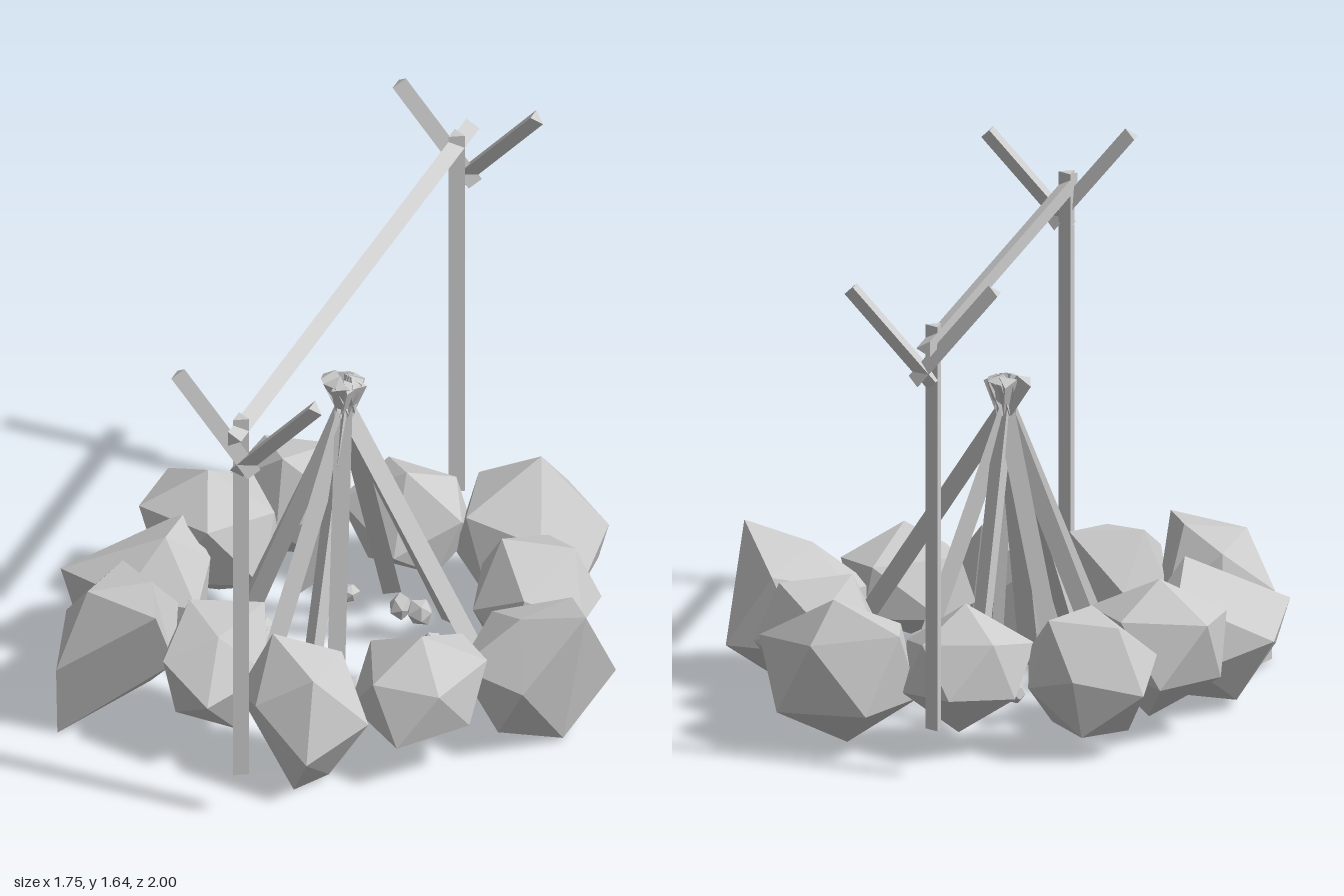
import * as THREE from 'three';
import { mergeVertices } from 'three/addons/utils/BufferGeometryUtils.js';

const grey = new THREE.MeshStandardMaterial({ color: 0xcccccc, flatShading: true });

// small seeded number source, 0..1
function seeded(seed) {
  let s = seed * 7919 + 17;
  return () => {
    s = (s * 16807) % 2147483647;
    return s / 2147483647;
  };
}

function part(name, geometry, parent) {
  const mesh = new THREE.Mesh(geometry, grey);
  mesh.name = name;
  parent.add(mesh);
  return mesh;
}

// three-sided stick between two points, one edge turned toward +x
function stick(name, from, to, radius, parent, turn = Math.PI / 2) {
  const a = new THREE.Vector3(...from);
  const b = new THREE.Vector3(...to);
  const dir = b.clone().sub(a);
  const geometry = new THREE.CylinderGeometry(radius, radius, dir.length(), 3, 1, false, turn);
  const mesh = part(name, geometry, parent);
  mesh.position.copy(a).add(b).multiplyScalar(0.5);
  mesh.quaternion.setFromUnitVectors(new THREE.Vector3(0, 1, 0), dir.normalize());
  return mesh;
}

// rough twenty-sided stone, fitted into the box min..max, with chosen corners pulled out
function stone(seed, min, max, corners = []) {
  const rand = seeded(seed);
  let geometry = new THREE.IcosahedronGeometry(1, 0);
  geometry.deleteAttribute('normal');
  geometry.deleteAttribute('uv');
  geometry = mergeVertices(geometry, 1e-3);
  geometry.rotateX(rand() * 6).rotateY(rand() * 6);
  const pos = geometry.attributes.position;
  const v = new THREE.Vector3();
  for (let i = 0; i < pos.count; i++) {
    v.fromBufferAttribute(pos, i).multiplyScalar(0.88 + 0.24 * rand());
    pos.setXYZ(i, v.x, v.y, v.z);
  }
  geometry.computeBoundingBox();
  const box = geometry.boundingBox;
  const size = box.getSize(new THREE.Vector3());
  const lo = new THREE.Vector3(...min);
  const hi = new THREE.Vector3(...max);
  const scale = hi.clone().sub(lo).divide(size);
  for (let i = 0; i < pos.count; i++) {
    v.fromBufferAttribute(pos, i).sub(box.min).multiply(scale).add(lo);
    pos.setXYZ(i, v.x, v.y, v.z);
  }
  for (const c of corners) {
    const target = new THREE.Vector3(...c);
    let best = 0;
    let bestDistance = Infinity;
    for (let i = 0; i < pos.count; i++) {
      const d = v.fromBufferAttribute(pos, i).distanceTo(target);
      if (d < bestDistance) {
        bestDistance = d;
        best = i;
      }
    }
    pos.setXYZ(best, ...c);
  }
  geometry.computeVertexNormals();
  return geometry;
}

export function createModel() {
  const model = new THREE.Group();
  model.name = 'campfire';

  // ring of large stones: low corner, high corner, then pulled-out corners
  const ring = new THREE.Group();
  ring.name = 'stoneRing';
  model.add(ring);
  const stones = [
    [[-0.61, 0.07, -0.67], [-0.2, 0.46, -0.32], [[-0.4, 0.28, -0.67]]],
    [[-0.22, 0.07, -0.76], [0.19, 0.46, -0.33], [[0.01, 0.22, -0.33]]],
    [[0.13, 0.01, -0.77], [0.64, 0.5, -0.36], [[0.64, 0.25, -0.36], [0.38, 0.5, -0.66]]],
    [[0.31, 0.07, -0.45], [0.72, 0.46, -0.02], [[0.72, 0.25, -0.33]]],
    [[0.46, 0.01, -0.14], [0.87, 0.44, 0.35], [[0.87, 0.5, 0.17], [0.78, 0.01, 0.14]]],
    [[0.19, 0.1, 0.19], [0.59, 0.46, 0.62], [[0.46, 0.36, 0.2]]],
    [[-0.14, 0.02, 0.47], [0.32, 0.49, 0.82], [[0.1, 0, 0.73]]],
    [[-0.43, 0.08, 0.33], [-0.06, 0.46, 0.76], [[-0.13, 0.46, 0.41]]],
    [[-0.79, 0.03, 0.28], [-0.39, 0.49, 0.71], [[-0.72, 0, 0.7], [-0.4, 0.48, 0.66]]],
    [[-0.88, 0.03, -0.08], [-0.43, 0.47, 0.34], [[-0.6, 0.4, -0.08], [-0.88, 0.33, 0.28]]],
    [[-0.77, 0.05, -0.4], [-0.33, 0.5, 0.02], [[-0.33, 0.25, -0.22]]],
  ];
  stones.forEach(([min, max, corners], i) => part('ringStone', stone(i + 1, min, max, corners), ring));

  // leaning firewood, crossing near the top
  const wood = new THREE.Group();
  wood.name = 'firewood';
  model.add(wood);
  const feet = [
    [-0.38, -0.04], [-0.32, 0.19], [-0.16, 0.38], [-0.01, 0.34], [0.12, 0.42],
    [0.46, 0.09], [0.24, -0.25], [0.0, -0.34], [-0.27, -0.25],
  ];
  const cross = new THREE.Vector3(-0.02, 0.93, 0);
  feet.forEach(([x, z], i) => {
    const foot = new THREE.Vector3(x, x > 0.4 ? 0.22 : 0.1, z);
    const pivot = cross.clone().add(new THREE.Vector3(x * 0.05, 0, z * 0.05));
    const top = foot.clone().lerp(pivot, (1.075 - foot.y) / (pivot.y - foot.y));
    stick('firewoodStick', foot.toArray(), top.toArray(), 0.034, wood, i * 0.8);
  });

  // small pebbles among the firewood
  const pebbles = new THREE.Group();
  pebbles.name = 'pebbles';
  model.add(pebbles);
  const spots = [
    [-0.11, -0.25], [0.07, -0.24], [0.14, -0.23], [0.24, -0.08], [0.23, 0.11],
    [-0.27, 0.05], [-0.25, 0.11], [-0.15, 0.24], [0.12, 0.27], [-0.05, 0.2],
  ];
  spots.forEach(([x, z], i) => {
    const r = 0.033 + 0.004 * (i % 3);
    part('pebble', stone(i + 31, [x - r, 0.11 - r, z - r], [x + r, 0.11 + r, z + r]), pebbles);
  });

  // forked posts carrying the beam
  for (const [name, postZ, forkZ] of [['frontSupport', 0.932, 0.954], ['backSupport', -0.876, -0.902]]) {
    const support = new THREE.Group();
    support.name = name;
    model.add(support);
    stick('post', [0, 0.16, postZ], [0, 1.49, postZ], 0.03, support);
    stick('leftFork', [-0.005, 1.305, forkZ], [0.265, 1.6, forkZ], 0.03, support);
    stick('rightFork', [0.055, 1.305, forkZ], [-0.205, 1.62, forkZ], 0.03, support);
  }
  stick('crossBeam', [0, 1.445, -1], [0, 1.445, 1], 0.03, model);

  return model;
}
